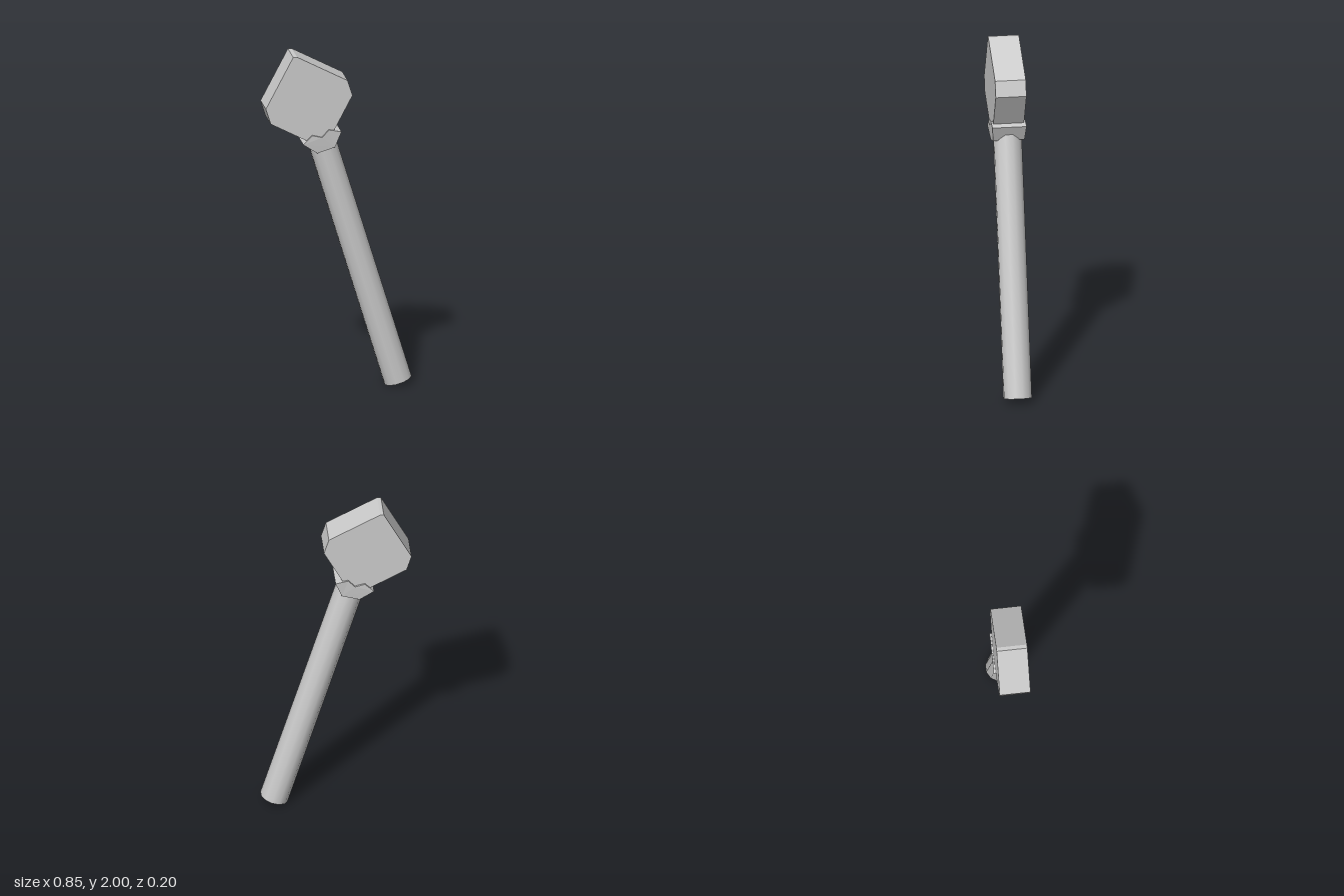
import * as THREE from 'three';

const material = new THREE.MeshStandardMaterial({ color: 0xcccccc });

function add(parent, name, geometry) {
  const mesh = new THREE.Mesh(geometry, material);
  mesh.name = name;
  parent.add(mesh);
  return mesh;
}

// Slab with the given outline, centred on z = 0
function slab(points, depth) {
  const shape = new THREE.Shape(points.map(([x, y]) => new THREE.Vector2(x, y)));
  return new THREE.ExtrudeGeometry(shape, { depth, bevelEnabled: false })
    .translate(0, 0, -depth / 2);
}

export function createModel() {
  const model = new THREE.Group();
  model.name = 'hammer';

  // Head: square block with clipped corners, point-symmetric about its centre
  const cx = -0.178, cy = 1.728;
  const half = [[-0.248, 2], [-0.27, 2], [-0.428, 1.7], [-0.4, 1.61]];
  const outline = [...half, ...half.map(([x, y]) => [2 * cx - x, 2 * cy - y])];
  add(model, 'head', slab(outline, 0.176));

  // Leaning shaft assembly, its origin where the shaft meets the head
  const shaft = new THREE.Group();
  shaft.name = 'shaft';
  shaft.position.set(-0.09, 1.47, 0);
  shaft.rotation.z = 0.295;
  model.add(shaft);

  // Handle: smooth twelve-sided rod
  const length = 1.525;
  const rod = new THREE.CylinderGeometry(0.082, 0.082, length, 12)
    .rotateY(Math.PI / 12)
    .translate(0, 0.017 - length / 2, 0);
  add(shaft, 'handle', rod);

  // Collar: notched cradle under the head corner, narrowing towards the handle
  const right = [[0.053, -0.033], [0.115, 0.045], [0.05, 0.08]];
  const left = right.map(([x, y]) => [-x, y]).reverse();
  const collar = slab([...right, [0, 0.05], ...left], 2);
  const p = collar.attributes.position;
  for (let i = 0; i < p.count; i++) {
    const t = THREE.MathUtils.clamp((p.getY(i) + 0.033) / 0.078, 0, 1);
    p.setZ(i, Math.sign(p.getZ(i)) * THREE.MathUtils.lerp(0.09, 0.098, t));
  }
  collar.computeVertexNormals();
  add(shaft, 'collar', collar);

  return model;
}
